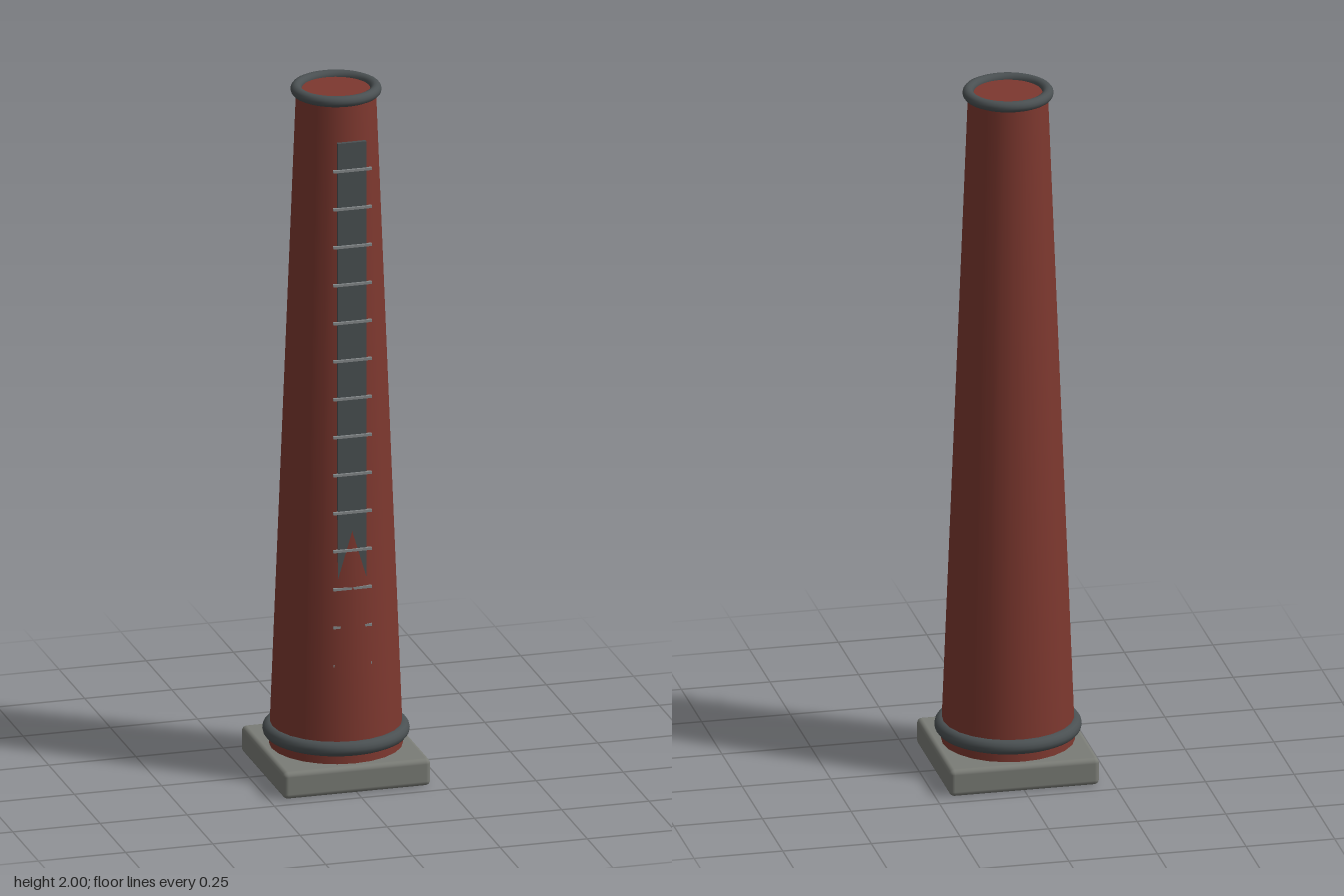
import * as THREE from 'three';
import { RoundedBoxGeometry } from 'three/addons/geometries/RoundedBoxGeometry.js';

export function createModel() {
  const model = new THREE.Group();
  model.name = 'chimney';

  const material = (name, color) => {
    const m = new THREE.MeshStandardMaterial({ color });
    m.name = name;
    return m;
  };
  const brick = material('brickRed', 0x7d382f);
  const stone = material('stoneGrey', 0x7a7c76);
  const iron = material('darkIron', 0x4a5052);
  const steel = material('rungSteel', 0x84898a);

  const add = (name, geometry, mat, y, z = 0, parent = model) => {
    const mesh = new THREE.Mesh(geometry, mat);
    mesh.name = name;
    mesh.position.set(0, y, z);
    parent.add(mesh);
    return mesh;
  };

  // Square plinth with softened edges
  add('plinth', new RoundedBoxGeometry(0.422, 0.078, 0.422, 3, 0.014), stone, 0.039);

  // Tapered shaft, closed at the top
  const bottom = 0.07, top = 1.985;
  add('shaft', new THREE.CylinderGeometry(0.11, 0.185, top - bottom, 24), brick, (top + bottom) / 2);

  // Iron bands: foot and rim
  const band = (name, radius, tube, y) => {
    add(name, new THREE.TorusGeometry(radius, tube, 14, 48).rotateX(Math.PI / 2), iron, y);
  };
  band('footBand', 0.182, 0.021, 0.122);
  band('rimBand', 0.11, 0.0155, 1.9845);

  // Ladder: upright backing strip that sinks into the shaft lower down
  const ladder = new THREE.Group();
  ladder.name = 'ladder';
  model.add(ladder);
  add('ladderStrip', new THREE.BoxGeometry(0.082, 1.58, 0.011), iron, 1.09, 0.153, ladder);

  // Evenly spaced rungs, wider than the strip
  for (let i = 0; i < 14; i++) {
    add('rung', new THREE.BoxGeometry(0.11, 0.007, 0.009), steel, 0.36 + i * 0.1108, 0.1602, ladder);
  }

  return model;
}
